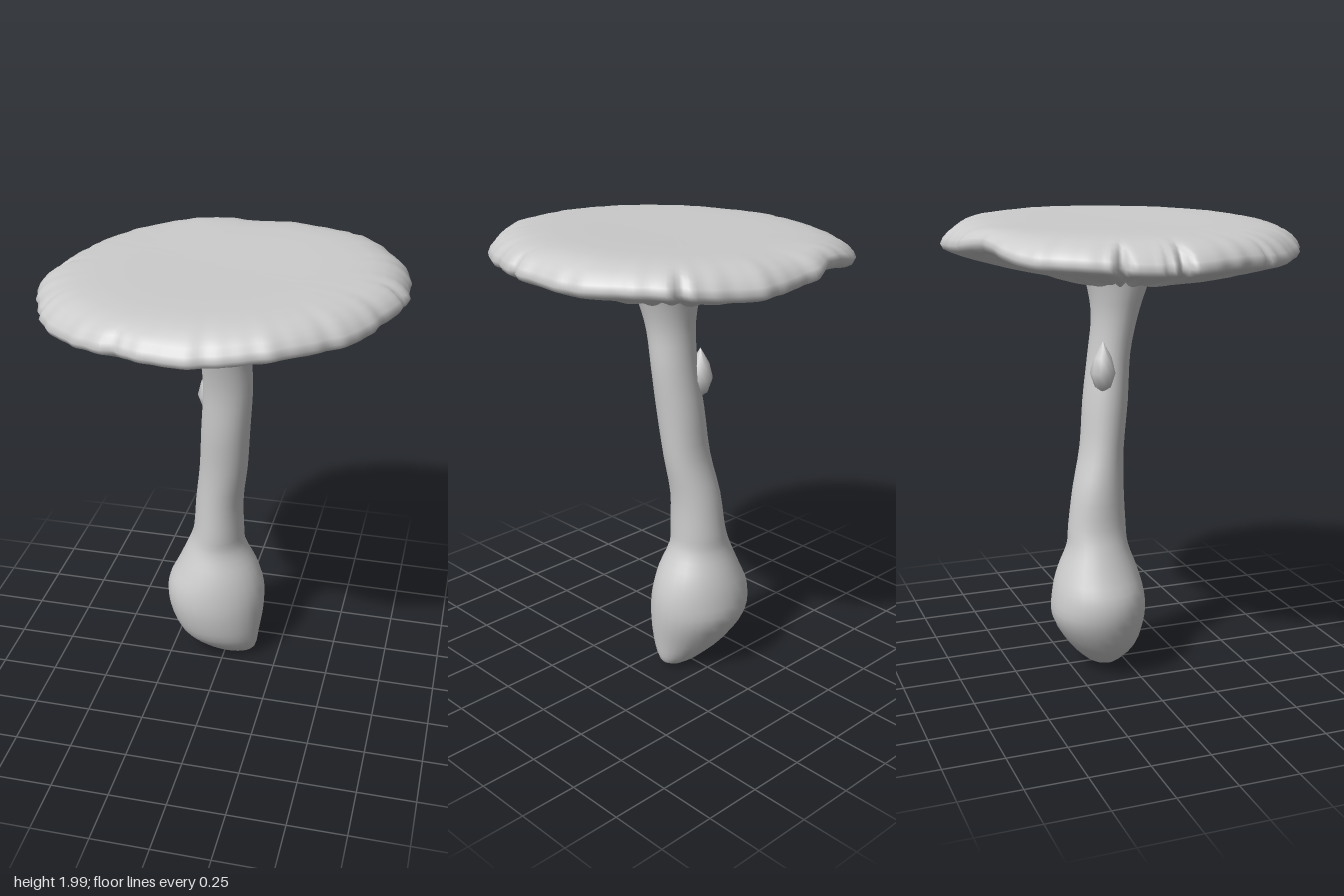
import * as THREE from 'three';

const TAU = Math.PI * 2;
const material = new THREE.MeshStandardMaterial({ color: 0xcccccc, side: THREE.DoubleSide });

// Closed skin of rings; point(i, angle) gives [x, y, z], angle running from +x to +z.
function skin(name, rings, sides, point) {
  const pos = [], index = [];
  for (let i = 0; i < rings; i++)
    for (let j = 0; j < sides; j++) pos.push(...point(i, (j / sides) * TAU));
  for (let i = 0; i < rings - 1; i++)
    for (let j = 0; j < sides; j++) {
      const a = i * sides + j, b = i * sides + ((j + 1) % sides);
      index.push(a, a + sides, b + sides, a, b + sides, b);
    }
  const geo = new THREE.BufferGeometry();
  geo.setAttribute('position', new THREE.Float32BufferAttribute(pos, 3));
  geo.setIndex(index);
  geo.computeVertexNormals();
  const mesh = new THREE.Mesh(geo, material);
  mesh.name = name;
  return mesh;
}

const angleGap = (a, b) => Math.abs(Math.atan2(Math.sin(a - b), Math.cos(a - b)));
const bell = (a, centre, width) => Math.exp(-((angleGap(a, centre) / width) ** 2));

// Stem with a bulbous foot: y, xMin, xMax, zMin, zMax
const STEM = [
  [0.0, -0.02, 0.1, -0.14, -0.07],
  [0.03, -0.12, 0.14, -0.18, -0.03],
  [0.12, -0.22, 0.155, -0.26, 0.04],
  [0.25, -0.28, 0.17, -0.335, 0.07],
  [0.36, -0.285, 0.165, -0.335, 0.065],
  [0.46, -0.24, 0.135, -0.31, 0.04],
  [0.57, -0.19, 0.08, -0.27, 0.0],
  [0.66, -0.16, 0.07, -0.26, -0.005],
  [0.82, -0.145, 0.07, -0.235, -0.01],
  [1.0, -0.12, 0.095, -0.19, 0.0],
  [1.2, -0.105, 0.11, -0.17, 0.025],
  [1.4, -0.09, 0.125, -0.14, 0.04],
  [1.55, -0.095, 0.125, -0.125, 0.07],
  [1.66, -0.11, 0.145, -0.135, 0.105],
  [1.75, -0.125, 0.175, -0.16, 0.145],
  [1.82, -0.16, 0.22, -0.2, 0.19],
];

function makeStem() {
  const middle = new THREE.CatmullRomCurve3(
    STEM.map(([y, x0, x1, z0, z1]) => new THREE.Vector3((x0 + x1) / 2, y, (z0 + z1) / 2)), false, 'catmullrom');
  const size = new THREE.CatmullRomCurve3(
    STEM.map(([, x0, x1, z0, z1]) => new THREE.Vector3((x1 - x0) / 2, 0, (z1 - z0) / 2)), false, 'catmullrom');
  const n = 46;
  return skin('stem', n + 1, 28, (i, a) => {
    const k = Math.max(0, i - 1) / (n - 1);
    const c = middle.getPoint(k), s = size.getPoint(k);
    const r = i === 0 ? 0 : 1 + 0.015 * Math.sin(3 * a + c.y * 4); // first ring closes the foot
    return [c.x + s.x * r * Math.cos(a), Math.max(0, c.y), c.z + s.z * r * Math.sin(a)];
  });
}

// Rim radius every 22.5 degrees
const RIM = [0.755, 0.735, 0.735, 0.735, 0.735, 0.74, 0.75, 0.745,
  0.755, 0.745, 0.76, 0.73, 0.72, 0.755, 0.775, 0.77];
// Torn nicks in the rim: x, z, depth, half width in radians
const NICKS = [[-0.66, -0.24, 0.06, 0.05], [-0.72, -0.02, 0.05, 0.045], [-0.73, -0.08, 0.02, 0.03],
  [0.5, -0.58, 0.035, 0.05], [0.72, 0.08, 0.02, 0.04], [-0.64, 0.37, 0.015, 0.04], [-0.25, 0.68, 0.02, 0.06]];
// Cap section from the stem outward below, round the rim and back over the top: fraction of radius, y
const CAP = [[0, 1.78], [0.14, 1.77], [0.22, 1.742], [0.32, 1.735], [0.42, 1.745], [0.52, 1.758], [0.62, 1.773],
  [0.72, 1.791], [0.81, 1.808], [0.89, 1.824], [0.95, 1.835], [0.985, 1.847], [1, 1.868], [0.985, 1.893],
  [0.955, 1.918], [0.915, 1.939], [0.86, 1.955], [0.78, 1.966], [0.65, 1.97], [0.45, 1.969], [0.22, 1.967], [0, 1.967]];
const UNDERSIDE = 11;
const FOLD = Math.atan2(-0.67, -0.28); // where the rim curls up

function rimRadius(a) {
  const f = (a / TAU) * RIM.length, i = Math.floor(f);
  const s = (1 - Math.cos((f - i) * Math.PI)) / 2;
  return THREE.MathUtils.lerp(RIM[i % 16], RIM[(i + 1) % 16], s)
    + 0.004 * Math.sin(13 * a) + 0.003 * Math.sin(29 * a + 1) + 0.002 * Math.sin(47 * a);
}

function makeCap() {
  return skin('cap', CAP.length, 288, (i, a) => {
    const [t, y0] = CAP[i];
    const edge = THREE.MathUtils.smoothstep(t, 0.82, 1);
    let r = rimRadius(a) * t - 0.03 * bell(a, FOLD + 0.08, 0.1) * edge;
    for (const [x, z, depth, width] of NICKS)
      r -= depth * edge * Math.max(0, 1 - angleGap(a, Math.atan2(z, x)) / width);
    const x = r * Math.cos(a), z = r * Math.sin(a);
    const fold = bell(a, FOLD, 0.27);
    let y = y0 + 0.04 * x + fold * 0.055 * t ** 8;
    y += 0.006 * edge * Math.sin(7 * a + 0.5);
    if (i < UNDERSIDE) {
      // gills, fading out where the fold smooths the underside
      const band = THREE.MathUtils.smoothstep(t, 0.15, 0.4) * (1 - THREE.MathUtils.smoothstep(t, 0.85, 0.98));
      y += band * (1 - fold) * (0.008 * Math.sin(48 * a) + 0.004 * Math.sin(31 * a + 2));
      y += fold * 0.06 * THREE.MathUtils.smoothstep(t, 0.35, 0.7) * (1 - edge);
    }
    return [x, y, z];
  });
}

// Small torn remnant of skin on the back of the stem
function makeRemnant() {
  const profile = [[0, 1.25], [0.035, 1.275], [0.056, 1.335], [0.04, 1.4], [0, 1.47]];
  const geo = new THREE.LatheGeometry(profile.map(([r, y]) => new THREE.Vector2(r, y)), 9);
  const mesh = new THREE.Mesh(geo, material);
  mesh.name = 'stemRemnant';
  mesh.position.set(-0.075, 0, -0.11);
  return mesh;
}

export function createModel() {
  const group = new THREE.Group();
  group.name = 'mushroom';
  group.add(makeStem(), makeRemnant(), makeCap());
  return group;
}
